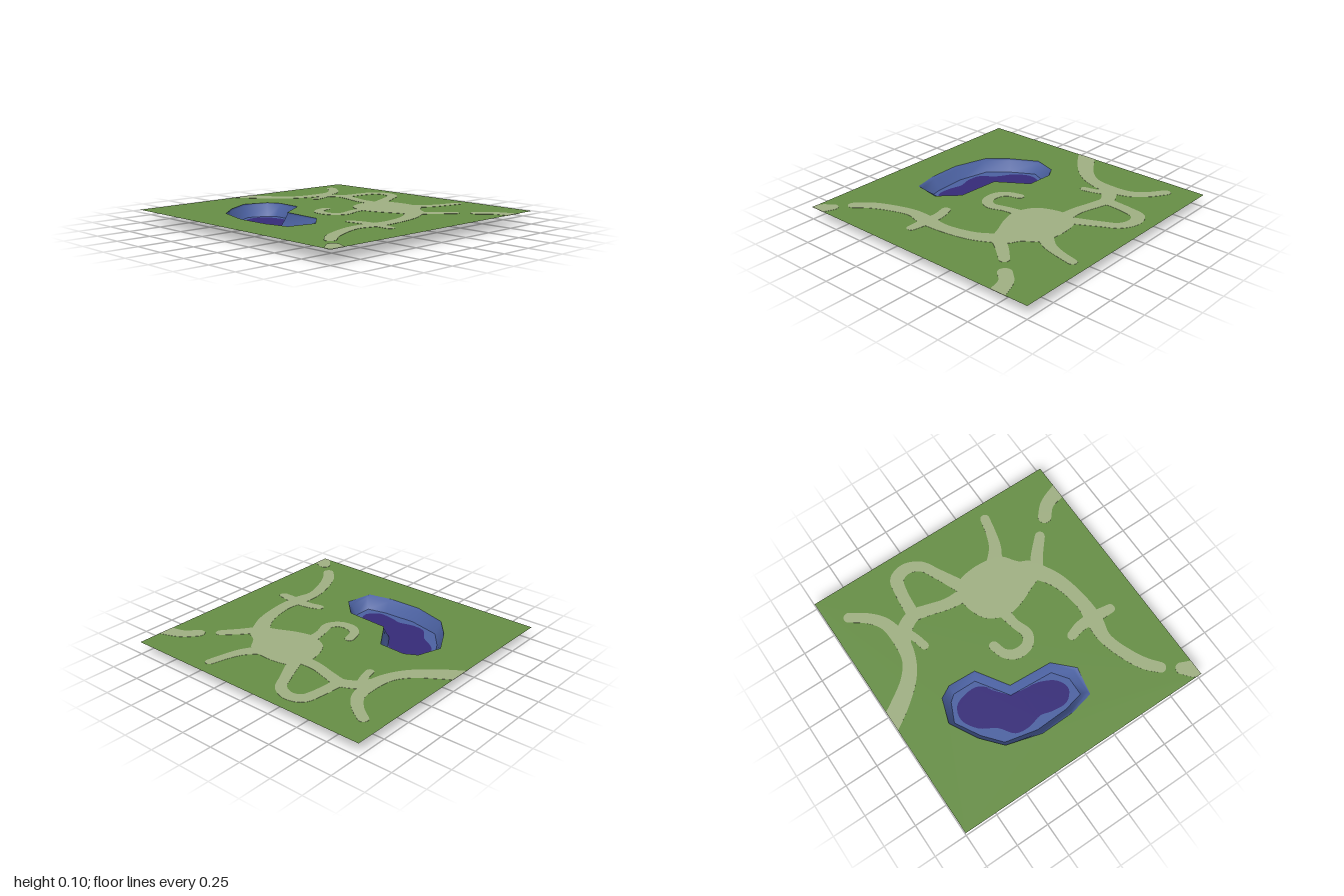
import * as THREE from 'three';

const GROUND_Y = 0.095;

function material(name, color) {
  const m = new THREE.MeshStandardMaterial({ color, side: THREE.DoubleSide });
  m.name = name;
  return m;
}

// All outlines are [x, z] pairs; shapes are drawn with y = -z and laid flat.
const toVec = ([x, z]) => new THREE.Vector2(x, -z);
const lay = (geometry, y) => geometry.rotateX(-Math.PI / 2).translate(0, y, 0);
const flat = (shape, y) => lay(new THREE.ShapeGeometry(shape), y);
const plate = (shape) => lay(
  new THREE.ExtrudeGeometry(shape, { depth: 0.003, bevelEnabled: false }), GROUND_Y - 0.0015);

function smoothLoop(points, divisions) {
  const curve = new THREE.CatmullRomCurve3(
    points.map(([x, z]) => new THREE.Vector3(x, 0, z)), true);
  return curve.getPoints(divisions).slice(0, -1).map((p) => [p.x, p.z]);
}

// Round-ended ribbon through [x, z, width] points, trimmed at the ground edge
function ribbon(points) {
  const curve = new THREE.CatmullRomCurve3(
    points.map(([x, z, w]) => new THREE.Vector3(x, w / 2, z)));
  const n = points.length * 6, left = [], right = [], caps = [[], []];
  for (let i = 0; i <= n; i++) {
    const p = curve.getPoint(i / n), t = curve.getTangent(i / n);
    const a = Math.atan2(t.z, t.x);
    const at = (angle) => [p.x + p.y * Math.cos(angle), p.z + p.y * Math.sin(angle)];
    left.push(at(a + Math.PI / 2));
    right.unshift(at(a - Math.PI / 2));
    if (i === 0 || i === n) {
      const start = i === 0 ? a - Math.PI / 2 : a + Math.PI / 2;
      for (let k = 1; k < 8; k++) caps[i ? 1 : 0].push(at(start - (k * Math.PI) / 8));
    }
  }
  const outline = [...left, ...caps[1], ...right, ...caps[0]];
  return new THREE.Shape(outline.map(([x, z]) => toVec([
    THREE.MathUtils.clamp(x, -1, 1), THREE.MathUtils.clamp(z, -1, 1)])));
}

// Moves a clockwise outline inwards
function inset(outline, d) {
  const n = outline.length;
  return outline.map(([x, z], i) => {
    const a = outline[(i + n - 1) % n], b = outline[(i + 1) % n];
    const tx = b[0] - a[0], tz = b[1] - a[1], l = Math.hypot(tx, tz);
    return [x - (tz / l) * d, z + (tx / l) * d];
  });
}

// Joins outlines at different heights into a wall
function loft(rings) {
  const pos = [], index = [], n = rings[0].outline.length;
  rings.forEach(({ outline, y }, j) => outline.forEach(([x, z], i) => {
    pos.push(x, y, z);
    if (j + 1 < rings.length) {
      const a = j * n + i, b = j * n + ((i + 1) % n);
      index.push(a, a + n, b, b, a + n, b + n);
    }
  }));
  const g = new THREE.BufferGeometry();
  g.setAttribute('position', new THREE.Float32BufferAttribute(pos, 3));
  g.setIndex(index);
  g.computeVertexNormals();
  return g;
}

export function createModel() {
  const group = new THREE.Group();
  const grass = material('grass green', 0x678f46);
  const sand = material('pale path', 0xa0b083);
  const blue = material('pond blue', 0x4c62a2);
  const deep = material('deep water', 0x362b78);
  const add = (name, geometry, mat) => {
    const mesh = new THREE.Mesh(geometry, mat);
    mesh.name = name;
    group.add(mesh);
  };

  // Pond outlines: waterline on the ground, rim just below it, floor
  const rim = [
    [-0.30, -0.68], [-0.13, -0.61], [-0.07, -0.53], [-0.08, -0.32], [-0.31, -0.17],
    [-0.33, 0.16], [-0.47, 0.27], [-0.65, 0.26], [-0.70, 0.08], [-0.71, -0.18],
    [-0.65, -0.44], [-0.50, -0.57]];
  const shore = rim.map((p) => [...p]);
  shore[1] = [-0.12, -0.62];
  shore[6] = [-0.47, 0.30];
  shore[7] = [-0.68, 0.26];
  shore[8] = [-0.72, 0.08];
  shore[9] = [-0.725, -0.18];
  const floor = inset(rim, 0.045);

  // Ground sheet with the pond opening
  const ground = new THREE.Shape([[-1, -1], [-1, 1], [1, 1], [1, -1]].map(toVec));
  ground.holes.push(new THREE.Path(shore.map(toVec)));
  add('ground', flat(ground, GROUND_Y), grass);

  // Pond basin
  add('pondWall', loft([
    { outline: shore, y: GROUND_Y }, { outline: rim, y: 0.08 }, { outline: floor, y: 0 }]), blue);
  const deepOutline = smoothLoop([
    [-0.30, -0.585], [-0.20, -0.55], [-0.16, -0.45], [-0.165, -0.345], [-0.26, -0.25],
    [-0.35, -0.15], [-0.38, 0.03], [-0.45, 0.15], [-0.54, 0.18], [-0.615, 0.11],
    [-0.61, -0.02], [-0.59, -0.10], [-0.615, -0.21], [-0.60, -0.32], [-0.50, -0.40],
    [-0.42, -0.52]], 64);
  const bed = new THREE.Shape(floor.map(toVec));
  bed.holes.push(new THREE.Path(deepOutline.map(toVec)));
  add('pondBed', flat(bed, 0), blue);
  add('deepWater', flat(new THREE.Shape(deepOutline.map(toVec)), 0), deep);

  // Central clearing
  const clearing = smoothLoop([
    [0.30, -0.08], [0.45, -0.10], [0.56, -0.03], [0.59, 0.08], [0.59, 0.20], [0.56, 0.33],
    [0.45, 0.42], [0.40, 0.50], [0.28, 0.50], [0.22, 0.38], [0.16, 0.24], [0.14, 0.12],
    [0.20, -0.02]], 52);
  add('clearing', plate(new THREE.Shape(clearing.map(toVec))), sand);

  // Winding paths: [x, z, width]
  const paths = {
    northPath: [[-0.10, -1.06, 0.14], [0, -0.90, 0.13], [0.13, -0.74, 0.11], [0.25, -0.66, 0.10],
      [0.40, -0.63, 0.11], [0.58, -0.655, 0.09], [0.69, -0.74, 0.08], [0.77, -0.85, 0.075]],
    northLink: [[0.40, -0.62, 0.12], [0.46, -0.57, 0.11], [0.52, -0.46, 0.10],
      [0.50, -0.35, 0.09], [0.46, -0.20, 0.09], [0.45, -0.05, 0.11]],
    northSpur: [[0.28, -0.51, 0.06], [0.36, -0.53, 0.06], [0.45, -0.57, 0.07]],
    eastLoop: [[0.52, -0.45, 0.09], [0.73, -0.43, 0.09], [0.83, -0.40, 0.10], [0.865, -0.31, 0.09],
      [0.82, -0.20, 0.08], [0.70, -0.13, 0.08], [0.52, -0.04, 0.10]],
    westHook: [[0, -0.10, 0.07], [-0.09, -0.07, 0.07], [-0.14, 0, 0.08], [-0.13, 0.10, 0.08],
      [-0.06, 0.15, 0.08], [0.06, 0.12, 0.07], [0.20, 0.10, 0.09]],
    eastPath: [[0.52, 0.25, 0.12], [0.64, 0.34, 0.09], [0.75, 0.38, 0.075], [0.88, 0.41, 0.07]],
    southWestPath: [[0.32, 0.48, 0.13], [0.16, 0.57, 0.11], [-0.08, 0.62, 0.10],
      [-0.25, 0.61, 0.12], [-0.40, 0.595, 0.09], [-0.61, 0.66, 0.09], [-0.72, 0.72, 0.09],
      [-0.80, 0.79, 0.08]],
    crossPath: [[-0.25, 0.41, 0.07], [-0.225, 0.50, 0.08], [-0.225, 0.62, 0.09],
      [-0.235, 0.76, 0.07]],
    southPath: [[0.30, 0.48, 0.10], [0.41, 0.56, 0.09], [0.53, 0.67, 0.075]],
    southEdgePath: [[0.64, 0.79, 0.10], [0.72, 0.87, 0.10], [0.78, 1.06, 0.13]],
    cornerPath: [[-0.89, 0.91, 0.09], [-0.94, 0.98, 0.13], [-0.97, 1.05, 0.14]],
  };
  for (const [name, points] of Object.entries(paths)) add(name, plate(ribbon(points)), sand);

  return group;
}
